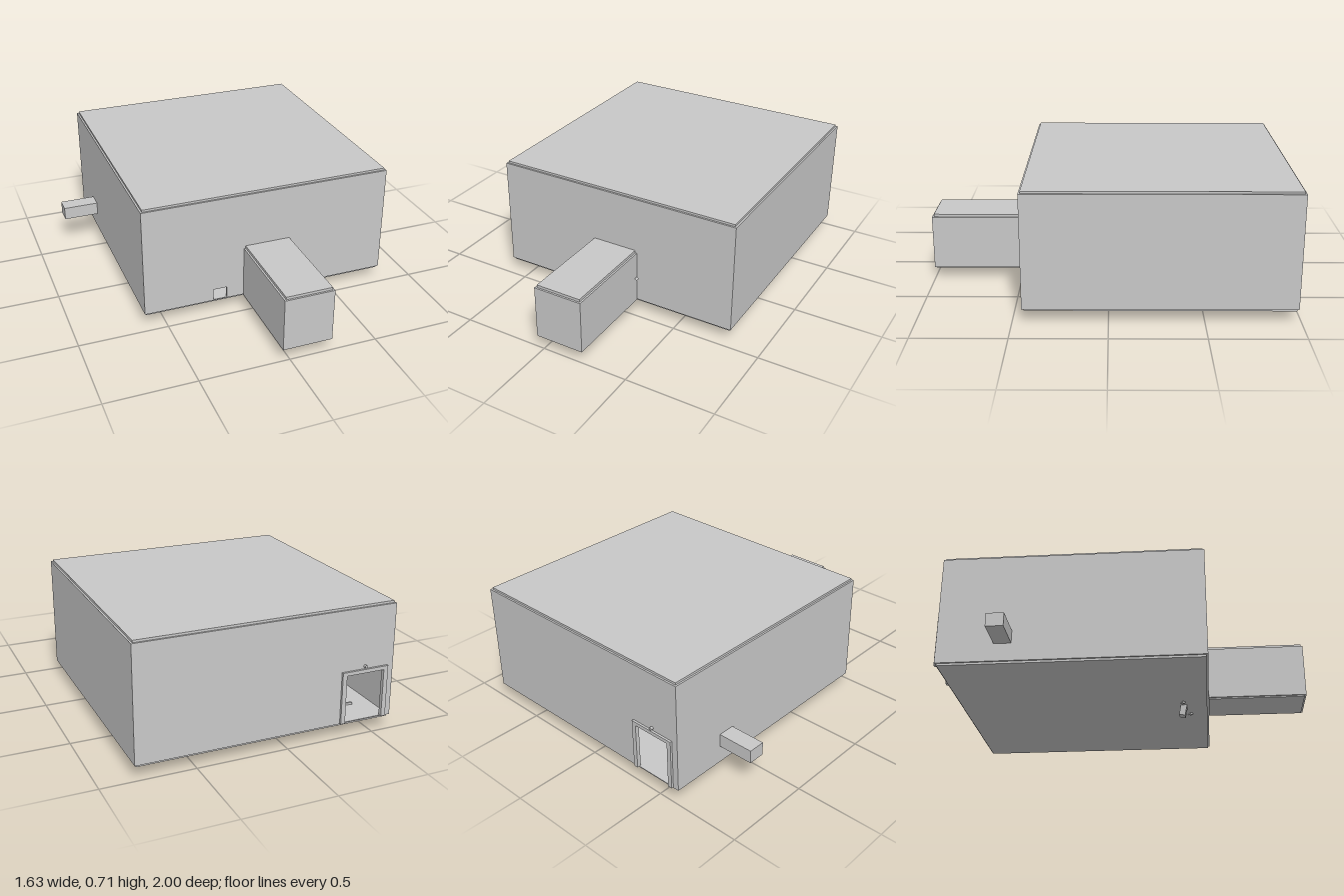
import * as THREE from 'three';

const grey = new THREE.MeshStandardMaterial({ color: 0xc8c8c8 });
grey.name = 'plain grey';

export function createModel() {
  const root = new THREE.Group();
  root.name = 'room';

  const add = (name, geometry, parent = root) => {
    const mesh = new THREE.Mesh(geometry, grey);
    mesh.name = name;
    parent.add(mesh);
    return mesh;
  };

  // Box given by its two opposite corners
  const box = (name, [x0, y0, z0], [x1, y1, z1], parent) => {
    const mesh = add(name, new THREE.BoxGeometry(x1 - x0, y1 - y0, z1 - z0), parent);
    mesh.position.set((x0 + x1) / 2, (y0 + y1) / 2, (z0 + z1) / 2);
    return mesh;
  };

  const trace = (path, x0, y0, x1, y1) =>
    path.moveTo(x0, y0).lineTo(x1, y0).lineTo(x1, y1).lineTo(x0, y1).closePath();

  // Upright panel facing z, with rectangular openings
  const panel = (name, rect, holes, z, depth) => {
    const shape = new THREE.Shape();
    trace(shape, ...rect);
    for (const hole of holes) {
      const path = new THREE.Path();
      trace(path, ...hole);
      shape.holes.push(path);
    }
    const mesh = add(name, new THREE.ExtrudeGeometry(shape, { depth, bevelEnabled: false }));
    mesh.position.z = z;
  };

  // Main room: slabs set slightly in from the wall faces
  const L = -0.615, R = 0.815, B = -0.985, F = 0.45, t = 0.01;
  box('floor', [L + t, 0.063, B + t], [R - t, 0.077, F - t]);
  box('roof', [L + t, 0.698, B + t], [R - t, 0.712, F - t]);
  box('rightWall', [L, 0.075, B + t], [L + t, 0.70, F - t]);
  box('leftWall', [R - t, 0.075, B + t], [R, 0.70, F - t]);
  const doorway = [-0.555, 0.08, -0.335, 0.345];
  panel('backWall', [L, 0.075, R, 0.70], [doorway], B, t);
  panel('frontWall', [L, 0.075, R, 0.70],
    [[-0.22, 0.08, -0.14, 0.145], [-0.025, 0.08, 0.23, 0.365]], F - t, t);

  // Entrance corridor
  const c0 = -0.04, c1 = 0.24, end = 0.995;
  box('corridorFloor', [c0 + t, 0.063, F], [c1 - t, 0.077, end - 0.005]);
  box('corridorRoof', [c0 + t, 0.37, F], [c1 - t, 0.387, end - 0.005]);
  box('corridorRightWall', [c0, 0.07, F], [c0 + t, 0.372, end - t]);
  box('corridorLeftWall', [c1 - t, 0.07, F], [c1, 0.372, end - t]);
  box('corridorEndWall', [c0, 0.07, end - t], [c1, 0.372, 1]);

  // Side duct
  box('sideDuct', [-0.82, 0.175, -0.675], [L, 0.25, -0.58]);

  // Back door frame with a lamp above
  const frame = new THREE.Group();
  frame.name = 'doorFrame';
  root.add(frame);
  box('jamb', [-0.58, 0.078, -0.997], [-0.555, 0.365, B], frame);
  box('jamb', [-0.335, 0.078, -0.997], [-0.31, 0.365, B], frame);
  box('lintel', [-0.555, 0.345, -0.997], [-0.335, 0.365, B], frame);
  const lamp = add('doorLamp', new THREE.CylinderGeometry(0.008, 0.008, 0.015, 10));
  lamp.rotation.x = Math.PI / 2;
  lamp.position.set(-0.445, 0.38, -0.9925);

  // Lever beside the corridor
  const lever = add('lever', new THREE.ConeGeometry(0.01, 0.045, 6));
  lever.position.set(0.25, 0.228, 0.467);
  lever.rotation.set(-1.95, 0, 0.5);

  // Tilted block poking through the floor, with loose scraps beside it
  const block = add('tiltedBlock', new THREE.BoxGeometry(0.07, 0.1, 0.035));
  block.position.set(0.08, 0.058, 0.305);
  block.rotation.set(0.2, 0, 0.12);
  for (const [x, z, tilt] of [[0.165, 0.3, -0.2], [0.19, 0.34, 0.15], [0.01, 0.3, 0.2]]) {
    const scrap = add('scrap', new THREE.BoxGeometry(0.045, 0.012, 0.015));
    scrap.position.set(x, 0.062, z);
    scrap.rotation.set(0.2, 0.4, tilt);
  }
  for (const [x, z] of [[-0.47, -0.8], [-0.4, -0.72], [-0.52, -0.65]]) {
    const scrap = add('floorScrap', new THREE.BoxGeometry(0.05, 0.012, 0.012));
    scrap.position.set(x, 0.083, z);
    scrap.rotation.y = x * 7;
  }
  return root;
}
